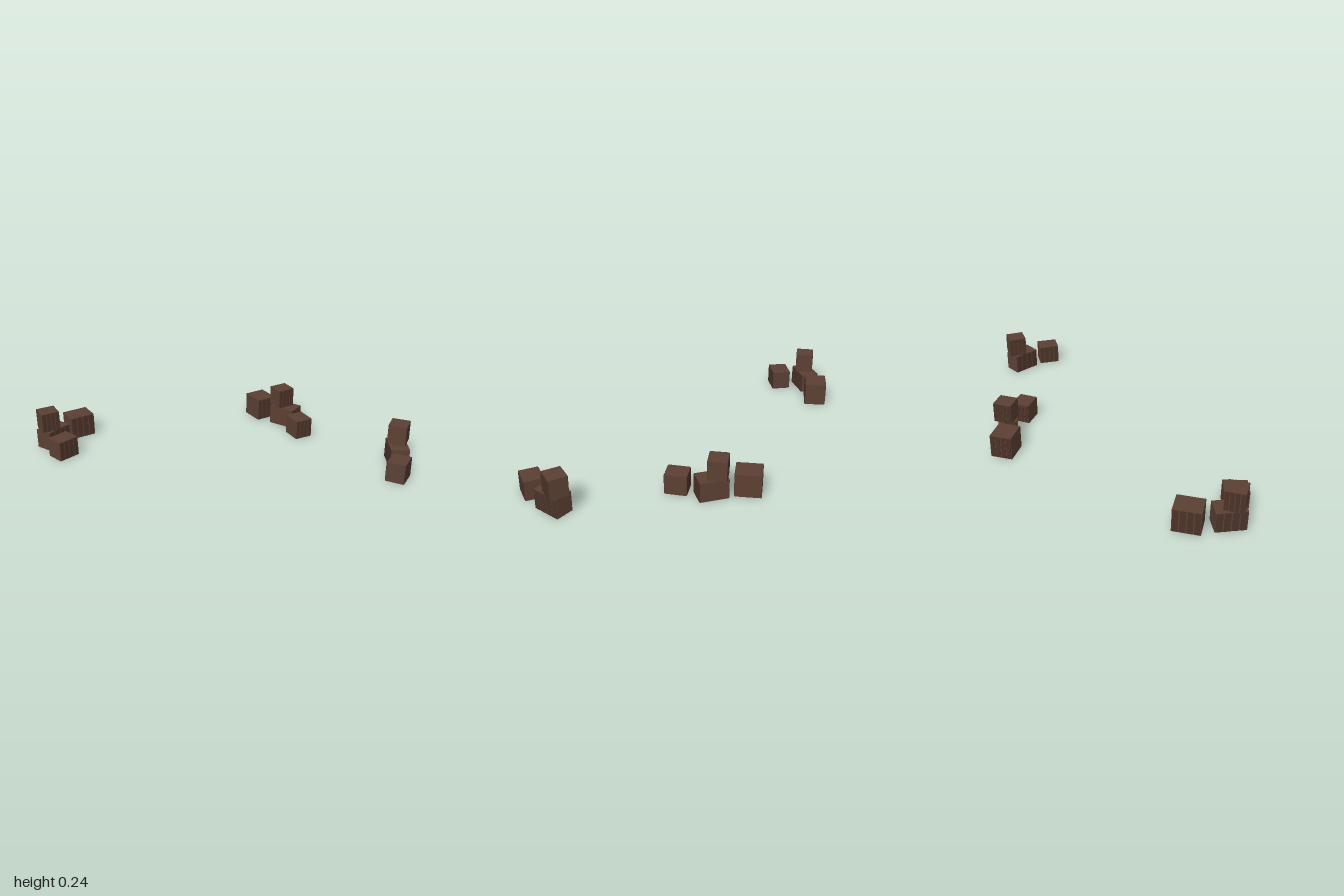
import * as THREE from 'three';

const body = new THREE.MeshStandardMaterial({ color: 0x5c4033 });
const trim = new THREE.MeshStandardMaterial({ color: 0x4a3328 });

function box(name, w, h, d, x, y, z, material) {
  const mesh = new THREE.Mesh(new THREE.BoxGeometry(w, h, d), material);
  mesh.name = name;
  mesh.position.set(x, y, z);
  return mesh;
}

// Wooden crate standing on its own y = 0, with upright slats on front and back
function createCrate(w, h, d) {
  const crate = new THREE.Group();
  const t = 0.003;
  const count = 4;
  crate.add(box('crateBody', w, h, d - 2 * t, 0, h / 2, 0, body));
  const pitch = w / count;
  for (const side of [-1, 1]) {
    for (let i = 0; i < count; i++) {
      const x = (i + 0.5) * pitch - w / 2;
      crate.add(box('slat', pitch * 0.8, h * 0.97, t, x, h / 2, side * (d - t) / 2, trim));
    }
  }
  return crate;
}

// Each crate: name, x, base y, z, width, height, depth, turn in degrees
const stacks = {
  backStack: [
    ['largeCrate', -0.41, 0, -0.915, 0.155, 0.14, 0.133, -14],
    ['smallCrate', -0.67, 0, -0.735, 0.135, 0.12, 0.117, 0],
    ['longCrate', -0.618, 0, -0.903, 0.17, 0.12, 0.115, 8],
    ['topCrate', -0.647, 0.12, -0.902, 0.111, 0.12, 0.111, -17],
  ],
  middleStack: [
    ['largeCrate', 0.607, 0, -0.247, 0.13, 0.14, 0.152, -15.5],
    ['longCrate', 0.618, 0, -0.038, 0.113, 0.12, 0.17, 8],
    ['topCrate', 0.62, 0.12, -0.074, 0.111, 0.12, 0.111, -17],
    ['smallCrate', 0.537, 0, 0.137, 0.111, 0.12, 0.129, -20],
  ],
  frontStack: [
    ['smallCrate', 0.457, 0, 0.925, 0.128, 0.12, 0.114, 15],
    ['longCrate', 0.627, 0, 0.81, 0.17, 0.12, 0.113, 43],
    ['topCrate', 0.659, 0.12, 0.791, 0.111, 0.12, 0.111, 20],
  ],
};

export function createModel() {
  const model = new THREE.Group();
  model.name = 'crateStacks';
  for (const [stackName, crates] of Object.entries(stacks)) {
    const stack = new THREE.Group();
    stack.name = stackName;
    for (const [name, x, y, z, w, h, d, turn] of crates) {
      const crate = createCrate(w, h, d);
      crate.name = name;
      crate.position.set(x, y, z);
      crate.rotation.y = THREE.MathUtils.degToRad(turn);
      stack.add(crate);
    }
    model.add(stack);
  }
  return model;
}
